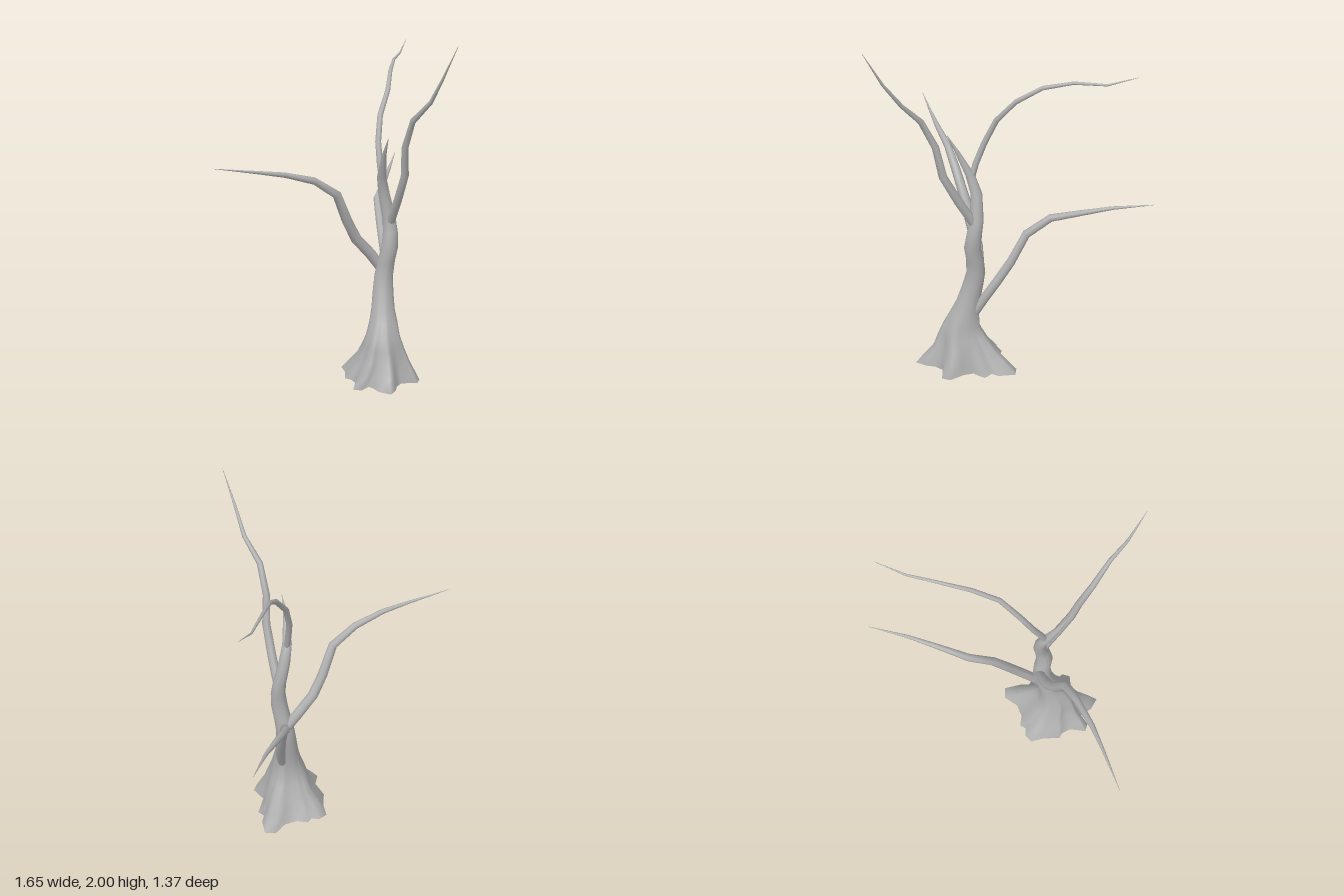
import * as THREE from 'three';

const bark = new THREE.MeshStandardMaterial({ color: 0xb0b0b0, side: THREE.DoubleSide });
bark.name = 'grey bark';

// Skin a list of closed rings (equal point counts) into a smooth open-ended surface
function loft(name, rings) {
  const n = rings[0].length, pos = [], index = [];
  rings.forEach(ring => ring.forEach(p => pos.push(p.x, p.y, p.z)));
  for (let i = 0; i < rings.length - 1; i++) {
    for (let j = 0; j < n; j++) {
      const a = i * n + j, b = i * n + (j + 1) % n;
      index.push(a, a + n, b, b, a + n, b + n);
    }
  }
  const g = new THREE.BufferGeometry();
  g.setAttribute('position', new THREE.Float32BufferAttribute(pos, 3));
  g.setIndex(index);
  g.computeVertexNormals();
  const mesh = new THREE.Mesh(g, bark);
  mesh.name = name;
  return mesh;
}

// Tapered limb: each path point is [x, y, z, radius]
function limb(name, path, sides = 8) {
  const pts = path.map(p => new THREE.Vector3(p[0], p[1], p[2]));
  const N = new THREE.Vector3(0.3, 0, 1), T = new THREE.Vector3(), B = new THREE.Vector3();
  const rings = pts.map((c, i) => {
    T.subVectors(pts[Math.min(i + 1, pts.length - 1)], pts[Math.max(i - 1, 0)]).normalize();
    N.addScaledVector(T, -N.dot(T)).normalize();
    B.crossVectors(T, N);
    return Array.from({ length: sides }, (_, j) => {
      const a = j / sides * Math.PI * 2, r = path[i][3];
      return c.clone().addScaledVector(N, r * Math.cos(a)).addScaledVector(B, -r * Math.sin(a));
    });
  });
  return loft(name, rings);
}

// Fluted outline of the roots on the ground: [x, z]
const roots = [
  [0, -0.175], [0.055, -0.18], [0.095, -0.15], [0.13, -0.165], [0.175, -0.12], [0.25, -0.1],
  [0.34, -0.13], [0.39, -0.09], [0.35, 0], [0.31, 0.02], [0.325, 0.08], [0.25, 0.11],
  [0.235, 0.165], [0.24, 0.26], [0.2, 0.29], [0.12, 0.24], [0.07, 0.26], [0.03, 0.3],
  [-0.03, 0.33], [-0.06, 0.26], [-0.055, 0.2], [-0.06, 0.165], [-0.125, 0.18], [-0.155, 0.14],
  [-0.085, 0.07], [-0.075, 0.015], [-0.09, -0.02], [-0.03, -0.1],
];
const rootCentre = [0.12, 0.07];

// Trunk rings: [x, y, z, radius, share of the root outline]
const trunkRings = [
  [0.12, 0, 0.07, 0.1, 1],
  [0.115, 0.07, 0.08, 0.1, 0.68],
  [0.115, 0.13, 0.085, 0.1, 0.4],
  [0.105, 0.2, 0.095, 0.095, 0.22],
  [0.1, 0.26, 0.097, 0.09, 0.09],
  [0.113, 0.34, 0.082, 0.078, 0.03],
  [0.122, 0.41, 0.065, 0.068, 0],
  [0.138, 0.51, 0.045, 0.06, 0],
  [0.152, 0.6, 0.033, 0.054, 0],
  [0.162, 0.69, 0.045, 0.05, 0],
  [0.168, 0.77, 0.066, 0.048, 0],
  [0.178, 0.86, 0.06, 0.043, 0],
  [0.18, 0.94, 0.045, 0.038, 0],
  [0.152, 1.09, 0.031, 0.033, 0],
  [0.12, 1.19, 0.05, 0.027, 0],
  [0.085, 1.33, 0.112, 0.014, 0],
  [0.07, 1.44, 0.17, 0.001, 0],
];

function trunk() {
  return loft('trunk', trunkRings.map(([x, y, z, r, f]) => roots.map(([px, pz]) => {
    const dx = px - rootCentre[0], dz = pz - rootCentre[1], k = f + (1 - f) * r / Math.hypot(dx, dz);
    return new THREE.Vector3(x + dx * k, y, z + dz * k);
  })));
}

export function createModel() {
  const tree = new THREE.Group();
  tree.name = 'bare tree';
  tree.add(
    trunk(),
    // long limb reaching to the right side
    limb('rightBranch', [
      [0.15, 0.64, 0.01, 0.03], [0.09, 0.73, -0.015, 0.032], [0.0, 0.83, -0.03, 0.031],
      [-0.065, 0.95, -0.032, 0.029], [-0.145, 1.115, -0.018, 0.026], [-0.28, 1.21, -0.045, 0.021],
      [-0.45, 1.262, -0.08, 0.015], [-0.6, 1.29, -0.125, 0.009], [-0.83, 1.33, -0.2, 0.001],
    ]),
    // low limb reaching to the left and back
    limb('lowLeftBranch', [
      [0.17, 0.35, 0.045, 0.024], [0.205, 0.45, 0.005, 0.028], [0.24, 0.55, -0.05, 0.028],
      [0.28, 0.68, -0.12, 0.027], [0.31, 0.845, -0.2, 0.025], [0.38, 0.945, -0.315, 0.022],
      [0.52, 1.005, -0.425, 0.016], [0.65, 1.06, -0.53, 0.01], [0.82, 1.11, -0.68, 0.001],
    ]),
    // tallest limb, leaning forward
    limb('frontBranch', [
      [0.18, 0.88, 0.04, 0.026], [0.17, 0.98, 0.095, 0.026], [0.157, 1.07, 0.15, 0.025],
      [0.135, 1.23, 0.235, 0.023], [0.11, 1.4, 0.265, 0.02], [0.096, 1.56, 0.345, 0.017],
      [0.114, 1.68, 0.47, 0.012], [0.102, 1.81, 0.57, 0.008], [0.105, 2, 0.685, 0.001],
    ]),
    // high arching limb to the left and back
    limb('highLeftBranch', [
      [0.125, 1.16, 0.05, 0.018], [0.13, 1.26, 0.022, 0.018], [0.15, 1.38, -0.02, 0.017],
      [0.2, 1.52, -0.065, 0.016], [0.3, 1.645, -0.12, 0.014], [0.4, 1.735, -0.22, 0.012],
      [0.52, 1.778, -0.335, 0.009], [0.66, 1.787, -0.45, 0.006], [0.79, 1.85, -0.545, 0.001],
    ]),
  );
  return tree;
}
